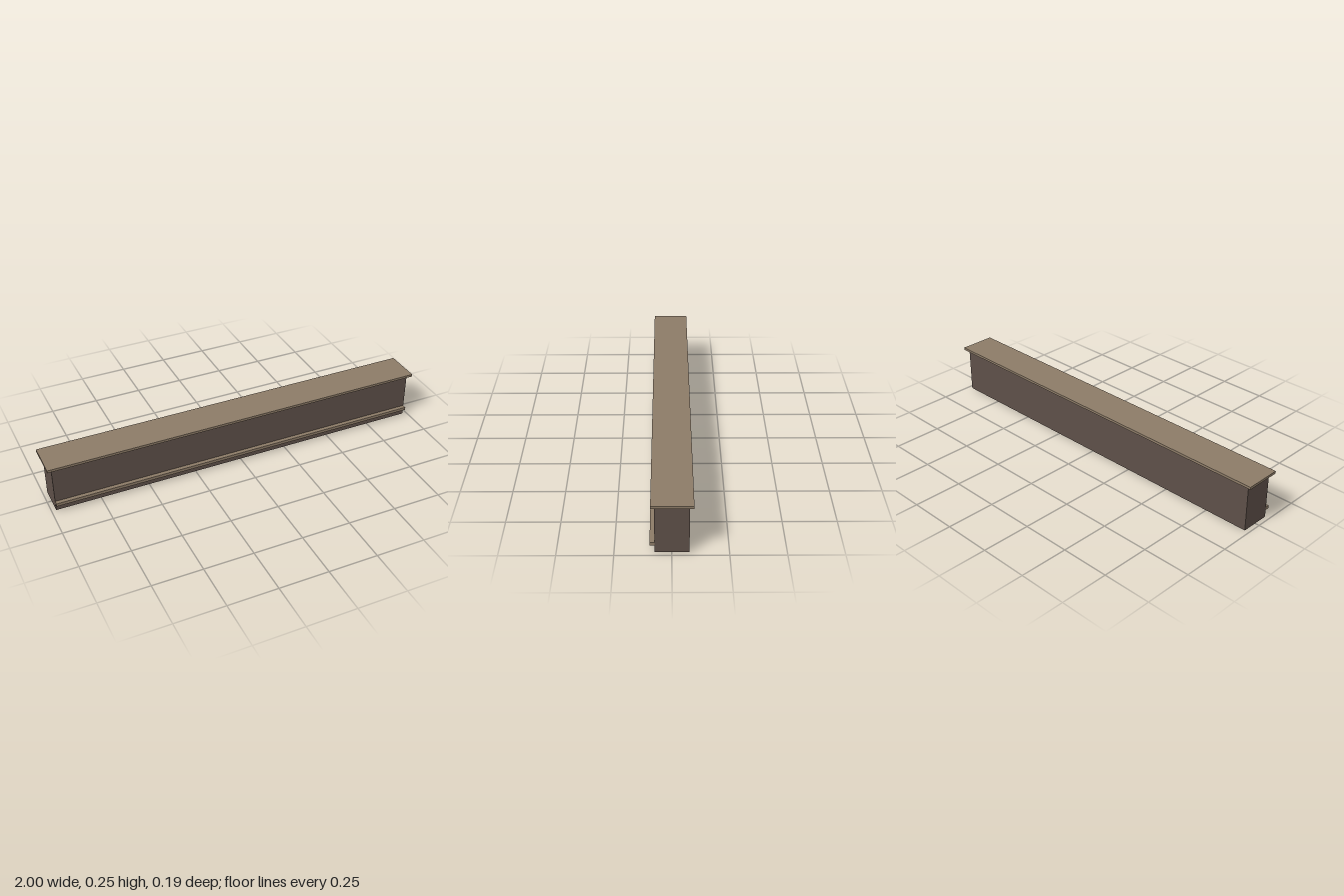
import * as THREE from 'three';

export function createModel() {
  const group = new THREE.Group();
  const darkBrown = new THREE.MeshStandardMaterial({ color: 0x5e5049 });
  darkBrown.name = 'darkBrown';
  const tan = new THREE.MeshStandardMaterial({ color: 0x8c7b67 });
  tan.name = 'tan';

  // Box centred on x, given its half width and its y and z ranges
  const addBox = (name, material, halfX, [y0, y1], [z0, z1]) => {
    const mesh = new THREE.Mesh(new THREE.BoxGeometry(halfX * 2, y1 - y0, z1 - z0), material);
    mesh.position.set(0, (y0 + y1) / 2, (z0 + z1) / 2);
    mesh.name = name;
    group.add(mesh);
  };

  addBox('body', darkBrown, 0.977, [0, 0.241], [-0.077, 0.075]);
  addBox('topSlab', tan, 1, [0.241, 0.254], [-0.095, 0.091]);
  // Narrow ledge along the foot of the front
  addBox('frontRail', tan, 0.977, [0.037, 0.053], [0.075, 0.096]);

  return group;
}
